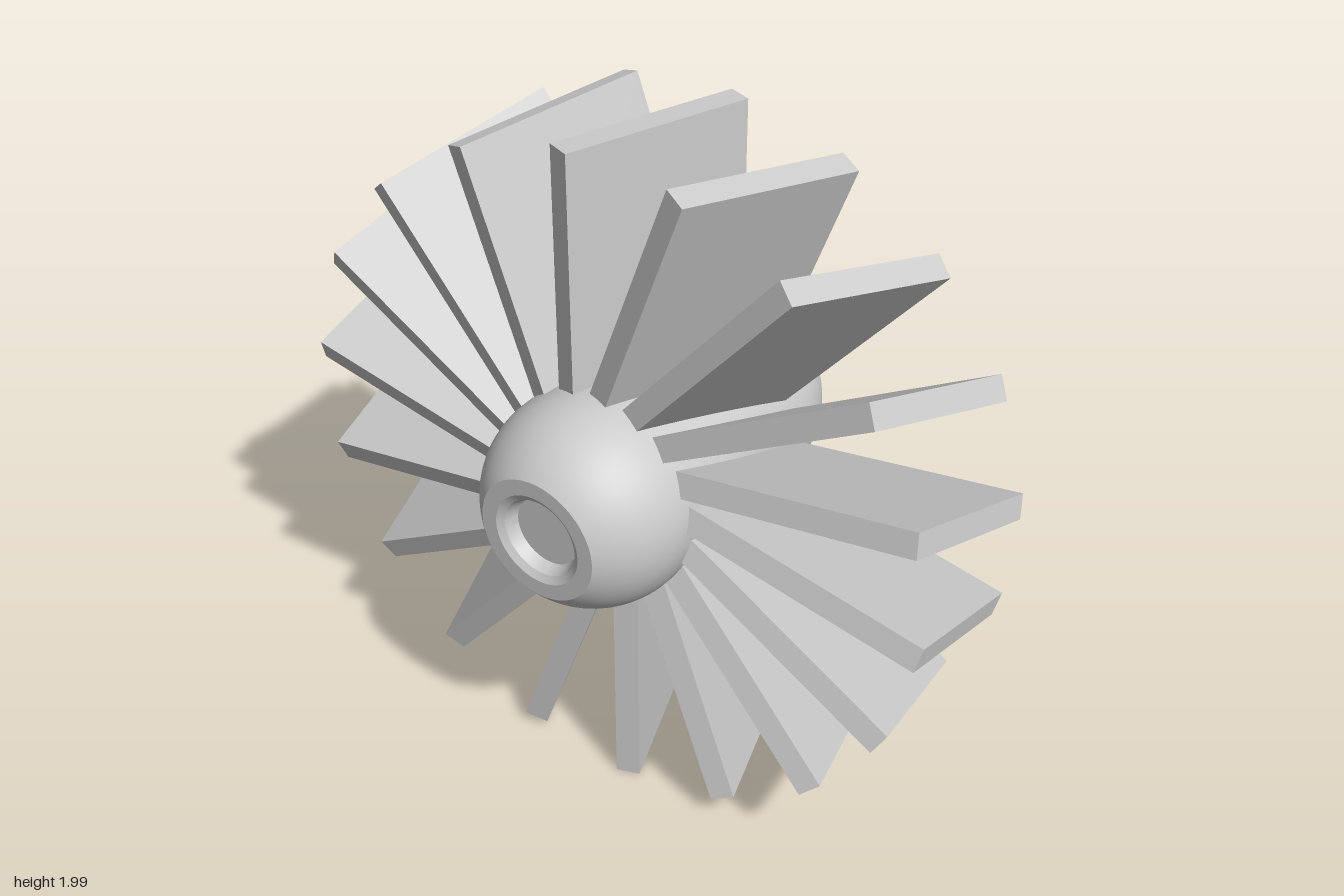
import * as THREE from 'three';
import { toCreasedNormals } from 'three/addons/utils/BufferGeometryUtils.js';

const BLADES = 18;
const TIP = 0.993;      // blade tip radius, also the axle height
const ROOT = 0.2;       // blade root, buried in the hub
const CHORD = 0.543, THICK = 0.07, PITCH = THREE.MathUtils.degToRad(20);
const HUB_R = 0.305;

export function createModel() {
  const model = new THREE.Group();
  model.name = 'turbineWheel';
  const material = new THREE.MeshStandardMaterial({ color: 0xcccccc });

  // Rotor turns about the x axis
  const rotor = new THREE.Group();
  rotor.name = 'rotor';
  rotor.position.y = TIP;
  model.add(rotor);

  // Hub profile: recessed flat end, rounded shoulder, barrel, domed nose
  const profile = [
    [0, -0.515], [0.1, -0.515], [0.115, -0.55], [0.135, -0.563],
  ].map(([r, h]) => new THREE.Vector2(r, h));
  const arc = (centre, from, to, steps) => {
    for (let i = 0; i <= steps; i++) {
      const a = THREE.MathUtils.lerp(from, to, i / steps);
      profile.push(new THREE.Vector2(Math.max(0, HUB_R * Math.cos(a)), centre + HUB_R * Math.sin(a)));
    }
  };
  arc(-0.318, -Math.asin(0.245 / HUB_R), 0, 12);
  arc(0.257, 0, Math.PI / 2, 20);
  const hubGeometry = toCreasedNormals(new THREE.LatheGeometry(profile, 64), 0.5);
  const hub = new THREE.Mesh(hubGeometry, material);
  hub.name = 'hub';
  hub.rotation.z = -Math.PI / 2;
  rotor.add(hub);

  // Flat pitched blades, evenly spaced
  const bladeGeometry = new THREE.BoxGeometry(CHORD, TIP - ROOT, THICK);
  bladeGeometry.rotateY(-PITCH);
  bladeGeometry.translate(-0.052, (TIP + ROOT) / 2, 0);
  for (let i = 0; i < BLADES; i++) {
    const blade = new THREE.Mesh(bladeGeometry, material);
    blade.name = `blade${i + 1}`;
    blade.rotation.x = (i / BLADES) * Math.PI * 2;
    rotor.add(blade);
  }
  return model;
}
